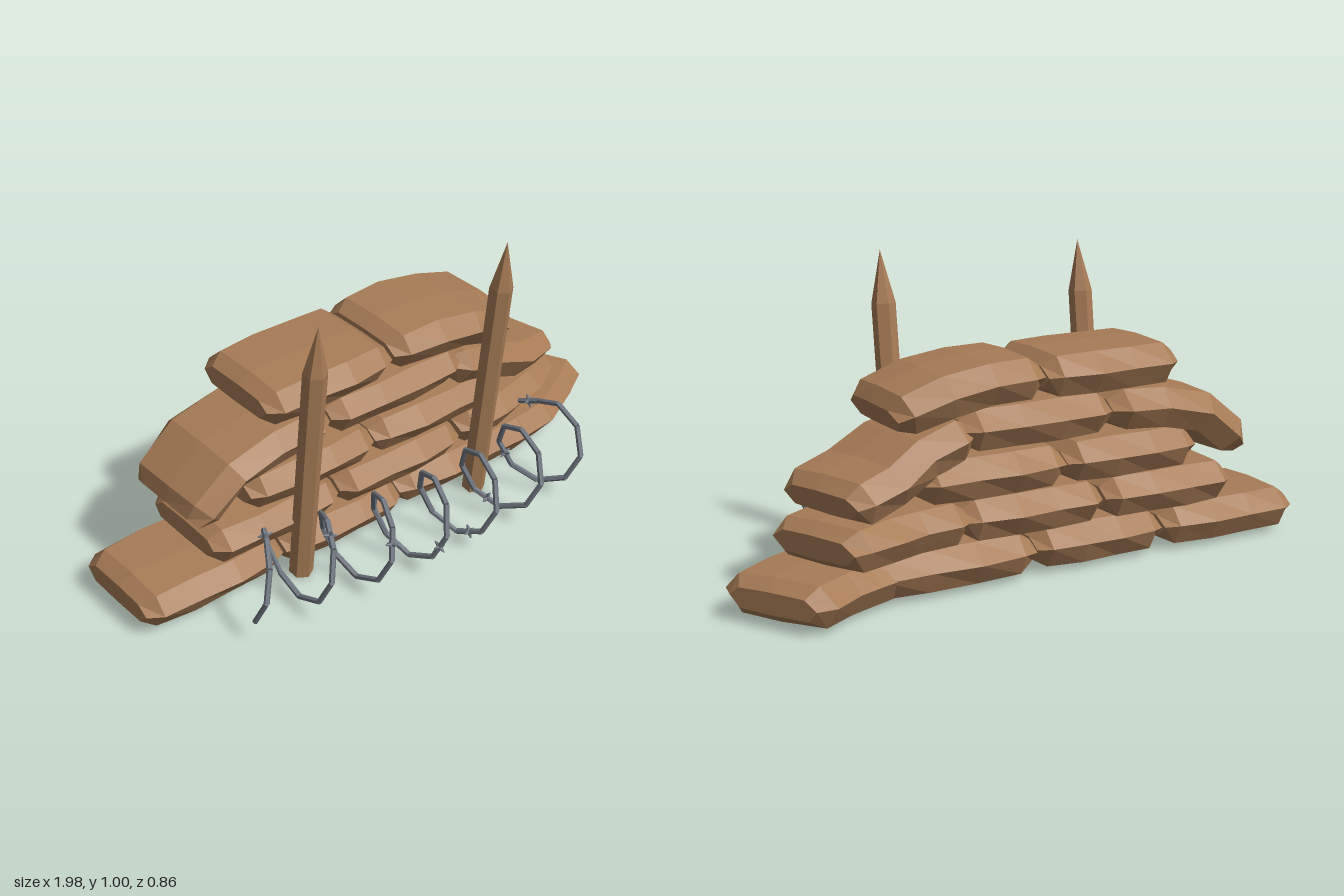
import * as THREE from 'three';

const cloth = new THREE.MeshStandardMaterial({ color: 0xa87c56, flatShading: true });
cloth.name = 'tan brown';
const steel = new THREE.MeshStandardMaterial({ color: 0x6f7680, flatShading: true });
steel.name = 'steel grey';

const V = (x, y, z) => new THREE.Vector3(x, y, z);

function add(parent, geometry, material, name) {
  const mesh = new THREE.Mesh(geometry, material);
  mesh.name = name;
  parent.add(mesh);
  return mesh;
}

// Cross-section of a bag: (depth, height) as fractions of its half sizes
const SECTION = [[1, 0.08], [0.76, 0.86], [0.1, 1], [-0.7, 0.97], [-1, 0.12], [-0.8, -0.88], [0, -1], [0.74, -0.95]];
// Stations along a bag: position, depth scale, height scale
const STATIONS = [[0, 0.8, 0.5], [0.09, 0.96, 0.97], [0.36, 1, 1], [0.64, 1, 1], [0.91, 0.96, 0.97], [1, 0.8, 0.5]];

// Sack lofted along a path
function bagGeometry(path, halfH, halfD, seed) {
  const curve = new THREE.CatmullRomCurve3(path.map((p) => V(...p)));
  const n = SECTION.length;
  const pos = [];
  const index = [];
  STATIONS.forEach(([u, sd, sh], i) => {
    const c = curve.getPointAt(u);
    const t = curve.getTangentAt(u);
    const side = V(-t.z, 0, t.x).normalize();
    const up = side.clone().cross(t).normalize();
    SECTION.forEach(([d, h], j) => {
      const wobble = 1 + 0.03 * Math.sin(seed * 7.3 + i * 2.9 + j * 4.7);
      const p = c.clone().addScaledVector(side, d * sd * halfD * wobble).addScaledVector(up, h * sh * halfH);
      pos.push(p.x, p.y, p.z);
      if (i > 0) {
        const k = (j + 1) % n, a = (i - 1) * n, b = i * n;
        index.push(a + j, b + j, a + k, b + j, b + k, a + k);
      }
    });
  });
  const last = (STATIONS.length - 1) * n;
  for (let j = 1; j < n - 1; j++) {
    index.push(0, j, j + 1, last, last + j + 1, last + j);
  }
  const g = new THREE.BufferGeometry();
  g.setAttribute('position', new THREE.Float32BufferAttribute(pos, 3));
  g.setIndex(index);
  const flat = g.toNonIndexed();
  flat.computeVertexNormals();
  return flat;
}

// Rod between two points
function rod(parent, a, b, r0, r1, name) {
  const dir = b.clone().sub(a);
  const mesh = add(parent, new THREE.CylinderGeometry(r1, r0, dir.length(), 6), steel, name);
  mesh.position.copy(a).add(b).multiplyScalar(0.5);
  mesh.quaternion.setFromUnitVectors(V(0, 1, 0), dir.normalize());
}

function sandbagWall() {
  const wall = new THREE.Group();
  wall.name = 'sandbagWall';
  const Z = -0.105;
  const straight = (x0, x1, y, z = Z) => [[x0, y, z], [x1, y, z]];
  const bags = [
    // bottom row, its last bag turned backwards
    straight(-1, -0.485, 0.083, -0.11), straight(-0.475, -0.005, 0.083), straight(0.005, 0.6, 0.083, -0.12),
    [[0.46, 0.082, -0.11], [0.66, 0.08, -0.15], [0.905, 0.08, -0.29]],
    // second row
    straight(-0.745, -0.26, 0.212), straight(-0.25, 0.25, 0.212),
    [[0.25, 0.215, -0.11], [0.5, 0.215, -0.14], [0.75, 0.215, -0.24]],
    // third row
    straight(-0.6, -0.115, 0.35), straight(-0.11, 0.4, 0.35),
    // fourth row, outer bags slumping down
    [[-0.79, 0.325, -0.11], [-0.62, 0.462, -0.11], [-0.45, 0.492, -0.105], [-0.285, 0.498, Z]],
    straight(-0.28, 0.25, 0.5),
    [[0.22, 0.485, -0.1], [0.37, 0.45, -0.11], [0.54, 0.37, -0.14], [0.7, 0.335, -0.19]],
    // top row
    straight(-0.53, -0.045, 0.634, -0.1),
    [[-0.035, 0.64, -0.1], [0.2, 0.634, -0.1], [0.36, 0.6, -0.1], [0.475, 0.56, -0.1]],
  ];
  bags.forEach((path, i) => add(wall, bagGeometry(path, 0.07, 0.205, i), cloth, 'sandbag' + (i + 1)));
  return wall;
}

// Six-sided leaning stake with a sharpened tip
function stake(x, height, z) {
  const g = new THREE.Group();
  g.name = 'stake';
  const point = 0.17, r = 0.039;
  const shaft = add(g, new THREE.CylinderGeometry(r, r, height - point, 6), cloth, 'stakeShaft');
  shaft.position.y = (height - point) / 2;
  const tip = add(g, new THREE.ConeGeometry(r, point, 6), cloth, 'stakeTip');
  tip.position.y = height - point / 2;
  g.position.set(x, 0.005, z);
  g.rotation.x = 0.124;
  return g;
}

// Coiled barbed wire, bowed around the front of the wall
function barbedWire() {
  const g = new THREE.Group();
  g.name = 'barbedWire';
  const pts = [];
  for (let i = -23; i <= 29; i++) {
    const phi = (i / 8) * Math.PI * 2;
    const x = -0.15 + (i / 8) * 0.199;
    const dz = 0.128 * Math.sin(phi);
    pts.push(V(x + dz * 0.45 * x, 0.173 - 0.128 * Math.cos(phi), 0.285 - 0.2 * x * x + dz));
  }
  pts.push(V(0.53, 0.235, 0.055));
  for (let i = 0; i < pts.length - 1; i++) {
    const a = pts[i], b = pts[i + 1];
    rod(g, a, b, 0.0095, 0.0095, 'wire');
    if (i % 7 === 3) {
      // barb: two crossed spikes
      const m = a.clone().lerp(b, 0.5);
      const along = b.clone().sub(a).normalize();
      const out = along.clone().cross(V(1, 0, 0)).normalize();
      const across = along.clone().cross(out);
      for (const d of [out, across]) {
        for (const s of [1, -1]) rod(g, m, m.clone().addScaledVector(d, 0.024 * s), 0.009, 0.002, 'barb');
      }
    }
  }
  return g;
}

export function createModel() {
  const model = new THREE.Group();
  model.name = 'sandbagBarricade';
  model.add(sandbagWall(), stake(-0.435, 0.975, 0.083), stake(0.295, 1.002, 0.09), barbedWire());
  return model;
}
